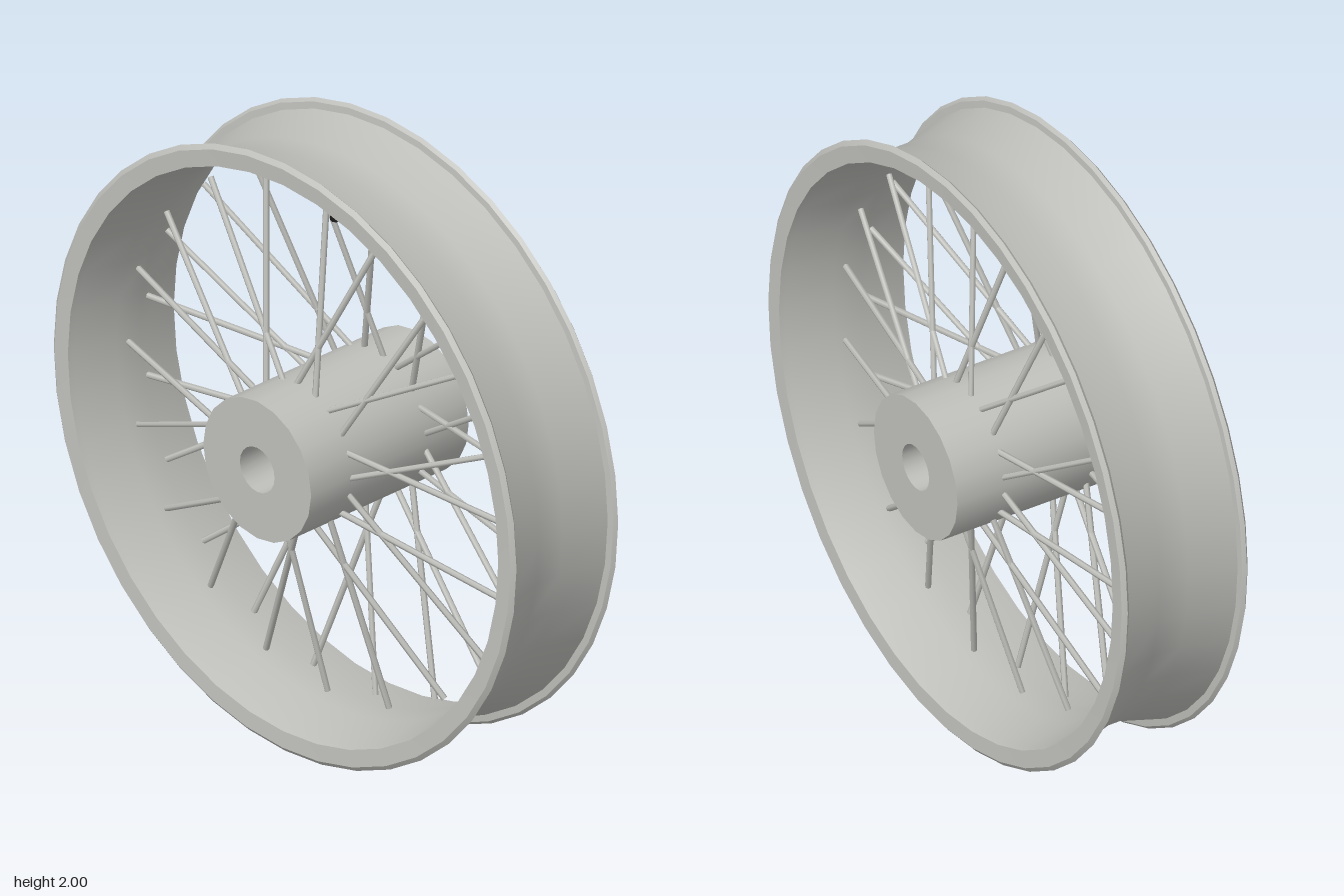
import * as THREE from 'three';
import { toCreasedNormals } from 'three/addons/utils/BufferGeometryUtils.js';

const metal = new THREE.MeshStandardMaterial({ color: 0xbfbfbb });
metal.name = 'greyMetal';
const rubber = new THREE.MeshStandardMaterial({ color: 0x1c1c1c });
rubber.name = 'blackRubber';

// Revolve a closed [radius, z] profile around the axle (z axis)
function revolve(name, profile, segments) {
  const pts = [...profile, profile[0]].map(([r, z]) => new THREE.Vector2(r, z));
  const geo = new THREE.LatheGeometry(pts, segments).rotateX(Math.PI / 2);
  const mesh = new THREE.Mesh(toCreasedNormals(geo, 0.6), metal);
  mesh.name = name;
  return mesh;
}

// Round bar between two points
function bar(name, a, b, radius, sides, material) {
  const dir = b.clone().sub(a);
  const mesh = new THREE.Mesh(new THREE.CylinderGeometry(radius, radius, dir.length(), sides), material);
  mesh.position.copy(a).add(b).multiplyScalar(0.5);
  mesh.quaternion.setFromUnitVectors(new THREE.Vector3(0, 1, 0), dir.normalize());
  mesh.name = name;
  return mesh;
}

const polar = (r, deg, z) => {
  const a = THREE.MathUtils.degToRad(deg);
  return new THREE.Vector3(r * Math.cos(a), r * Math.sin(a), z);
};

export function createModel() {
  const model = new THREE.Group();
  model.name = 'spokedWheel';
  const wheel = new THREE.Group();
  wheel.name = 'wheel';
  wheel.position.y = 1;
  model.add(wheel);

  // Rim: dropped centre channel with a raised lip on each side
  const outerHalf = [[0.928, 0.05], [0.968, 0.2], [0.99, 0.202], [1, 0.213], [0.985, 0.225]];
  const innerHalf = [[0.93, 0.222], [0.925, 0.2], [0.897, 0.05]];
  const half = [...outerHalf, ...innerHalf];
  const mirrored = half.map(([r, z]) => [r, -z]).reverse();
  wheel.add(revolve('rim', [...half, ...mirrored], 40));

  // Hub: thick tube with an open axle bore
  wheel.add(revolve('hub', [[0.233, -0.33], [0.233, 0.33], [0.075, 0.33], [0.075, -0.33]], 20));

  // Spokes: alternate front and back, crossing in leading and trailing pairs
  const spokes = new THREE.Group();
  spokes.name = 'spokes';
  for (let i = 0; i < 40; i++) {
    const side = i % 2 ? -1 : 1;
    const lean = i % 4 < 2 ? 20 : -20;
    const root = polar(0.222, i * 9 + lean, side * 0.16);
    const tip = polar(0.86, i * 9, side * 0.035);
    spokes.add(bar('spoke', root, tip, 0.01, 6, metal));
  }
  wheel.add(spokes);

  // Valve stem hanging from the top of the rim
  wheel.add(bar('valveStem', new THREE.Vector3(0, 0.73, 0), new THREE.Vector3(0, 0.905, 0), 0.018, 8, rubber));

  return model;
}
